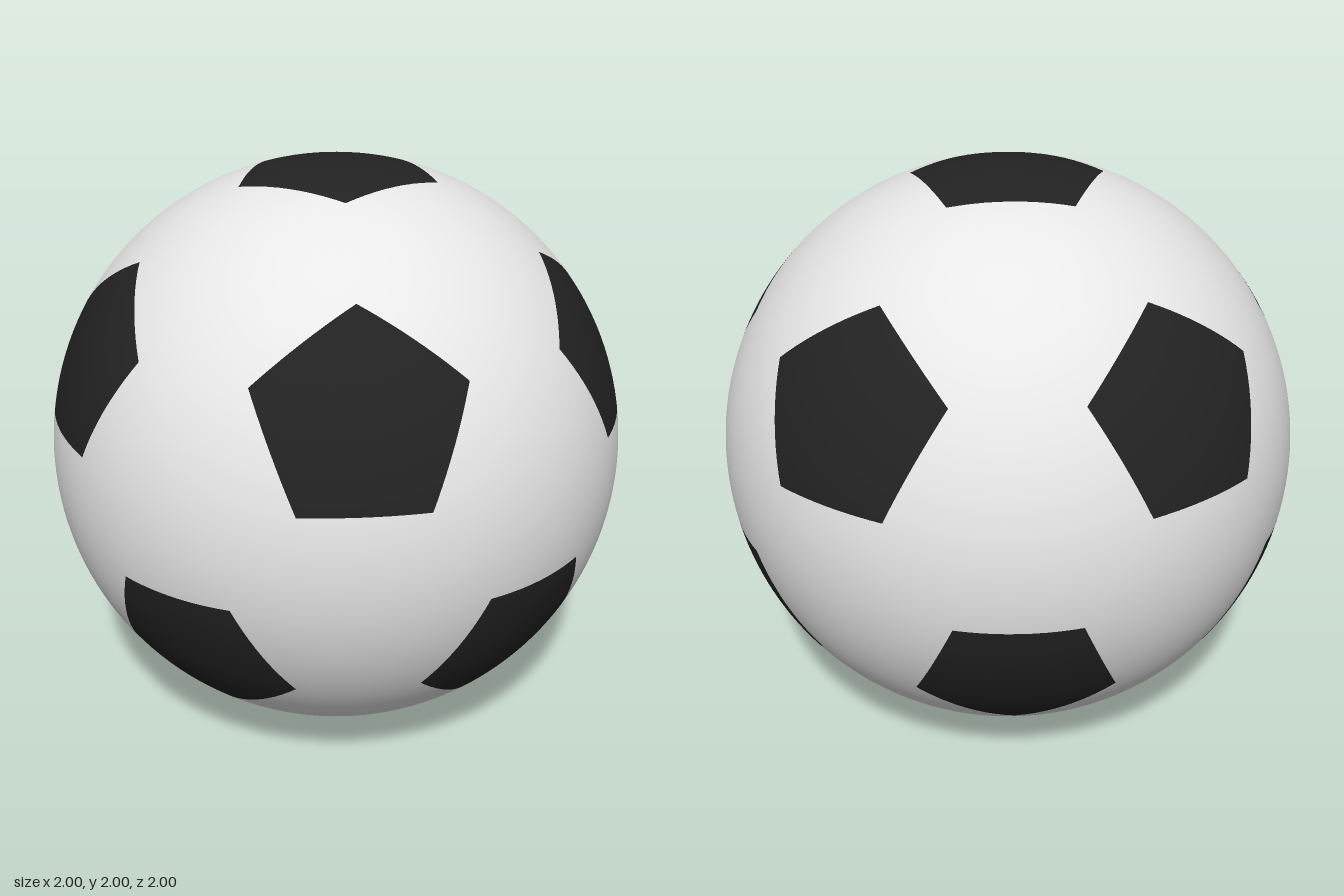
import * as THREE from 'three';

const SEGMENTS = 10; // subdivisions of each panel wedge

// Spherical panel: a fan of wedges around the middle, pushed out to the unit sphere
function panelGeometry(corners) {
  const centre = corners.reduce((s, c) => s.add(c), new THREE.Vector3()).normalize();
  const positions = [];
  corners.forEach((a, i) => {
    const b = corners[(i + 1) % corners.length];
    const at = (u, v) => centre.clone().multiplyScalar(SEGMENTS - u - v)
      .addScaledVector(a, u).addScaledVector(b, v).normalize().toArray();
    for (let u = 0; u < SEGMENTS; u++) {
      for (let v = 0; u + v < SEGMENTS; v++) {
        positions.push(...at(u, v), ...at(u + 1, v), ...at(u, v + 1));
        if (u + v < SEGMENTS - 1) positions.push(...at(u + 1, v), ...at(u + 1, v + 1), ...at(u, v + 1));
      }
    }
  });
  const geometry = new THREE.BufferGeometry();
  geometry.setAttribute('position', new THREE.Float32BufferAttribute(positions, 3));
  geometry.setAttribute('normal', new THREE.Float32BufferAttribute(positions, 3)); // smooth sphere
  return geometry;
}

// Sort corners anticlockwise as seen from outside the ball
function sortAround(corners, axis) {
  const right = corners[0].clone().cross(axis).normalize();
  const up = axis.clone().cross(right).normalize();
  const angle = (p) => Math.atan2(p.dot(up), p.dot(right));
  return corners.sort((p, q) => angle(p) - angle(q));
}

export function createModel() {
  const white = new THREE.MeshStandardMaterial({ color: 0xf0f0f0 });
  white.name = 'white leather';
  const black = new THREE.MeshStandardMaterial({ color: 0x222222 });
  black.name = 'black leather';

  const ball = new THREE.Group();
  ball.name = 'ball';
  ball.position.y = 1;

  // Pentagon centres: two poles and two staggered rings of five
  const hubs = [new THREE.Vector3(0, 1, 0), new THREE.Vector3(0, -1, 0)];
  for (let i = 0; i < 10; i++) {
    const angle = (i * Math.PI) / 5;
    const y = (i % 2 ? -1 : 1) / Math.sqrt(5);
    const r = 2 / Math.sqrt(5);
    hubs.push(new THREE.Vector3(r * Math.cos(angle), y, r * Math.sin(angle)));
  }
  const adjacent = (a, b) => a !== b && a.dot(b) > 0.4;
  const seam = (a, b) => a.clone().multiplyScalar(2).add(b).normalize(); // a third of the way to b

  const addPanel = (name, corners, axis, material) => {
    const mesh = new THREE.Mesh(panelGeometry(sortAround(corners, axis)), material);
    mesh.name = name;
    ball.add(mesh);
  };

  // Black pentagons
  hubs.forEach((hub) => {
    const corners = hubs.filter((other) => adjacent(hub, other)).map((other) => seam(hub, other));
    addPanel('pentagonPanel', corners, hub, black);
  });

  // White hexagons, one between every three neighbouring pentagons
  hubs.forEach((a, i) => hubs.forEach((b, j) => hubs.forEach((c, k) => {
    if (!(i < j && j < k && adjacent(a, b) && adjacent(b, c) && adjacent(a, c))) return;
    const corners = [seam(a, b), seam(b, a), seam(b, c), seam(c, b), seam(c, a), seam(a, c)];
    addPanel('hexagonPanel', corners, a.clone().add(b).add(c).normalize(), white);
  })));

  const model = new THREE.Group();
  model.name = 'football';
  model.add(ball);
  return model;
}
